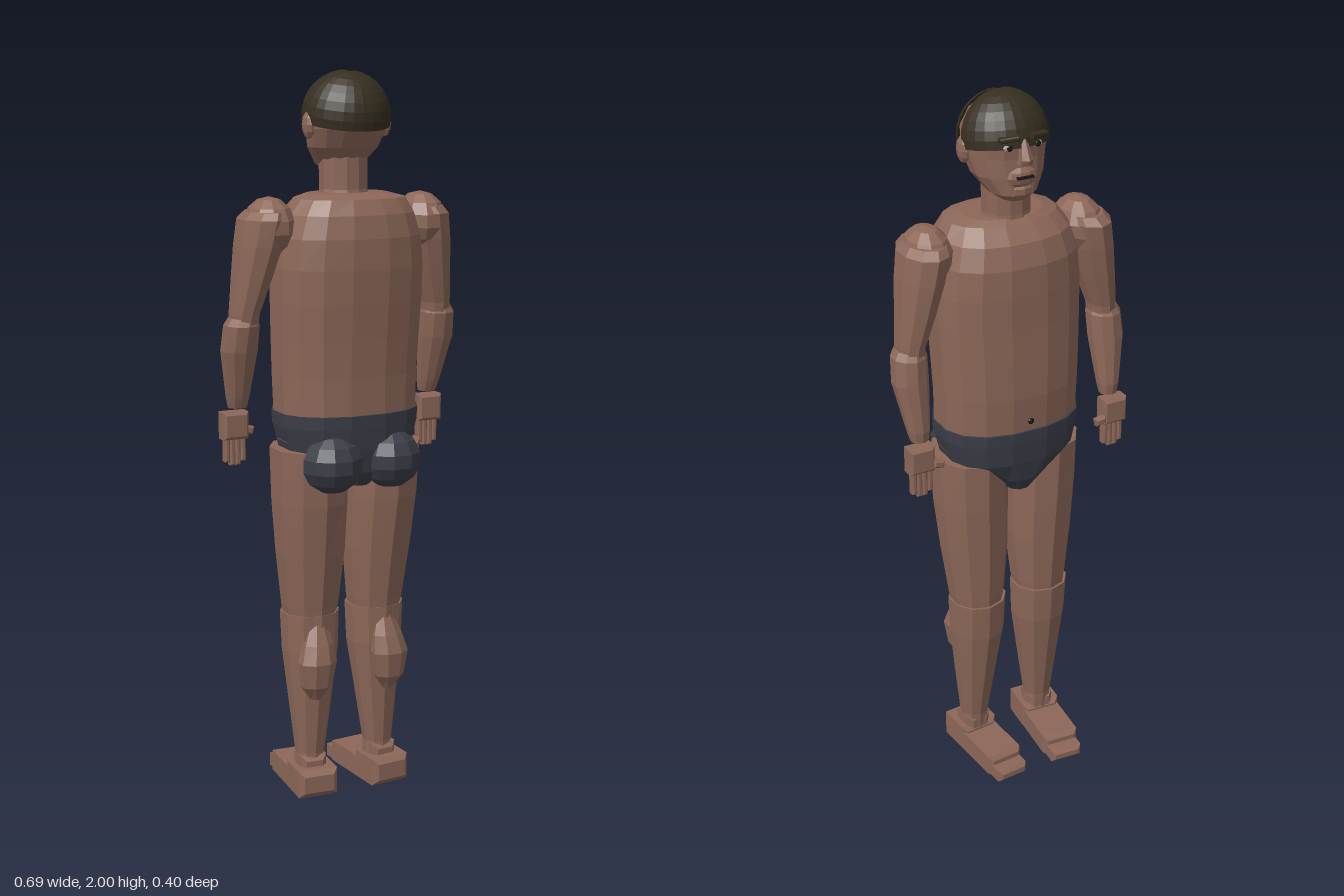
import * as THREE from 'three';

const material = (name, color, side = THREE.FrontSide) => {
  const m = new THREE.MeshStandardMaterial({ color, side });
  m.name = name;
  return m;
};

// Faceted copy of a geometry
function flat(geo) {
  const g = geo.index ? geo.toNonIndexed() : geo;
  g.computeVertexNormals();
  return g;
}

// Closed body from elliptical rings [y, cx, cz, rx, rz], listed bottom to top; power < 1 squares the outline
function loft(rings, sides = 10, power = 1) {
  const pos = [], idx = [];
  const bend = v => Math.sign(v) * Math.pow(Math.abs(v), power);
  for (const [y, cx, cz, rx, rz] of rings) {
    for (let i = 0; i < sides; i++) {
      const a = ((i + 0.5) / sides) * Math.PI * 2;
      pos.push(cx + rx * bend(Math.cos(a)), y, cz + rz * bend(Math.sin(a)));
    }
  }
  for (let j = 0; j < rings.length - 1; j++) {
    for (let i = 0; i < sides; i++) {
      const k = (i + 1) % sides, a = j * sides + i, b = j * sides + k;
      idx.push(a, a + sides, b, b, a + sides, b + sides);
    }
  }
  const n = rings.length * sides, last = n - sides;
  const r0 = rings[0], r1 = rings[rings.length - 1];
  pos.push(r0[1], r0[0], r0[2], r1[1], r1[0], r1[2]);
  for (let i = 0; i < sides; i++) {
    const k = (i + 1) % sides;
    idx.push(n, i, k, n + 1, last + k, last + i);
  }
  const g = new THREE.BufferGeometry();
  g.setAttribute('position', new THREE.Float32BufferAttribute(pos, 3));
  g.setIndex(idx);
  return flat(g);
}

// Box with chamfered edges, centred on the origin
function block(w, h, d, bevel = 0.008) {
  const x = w / 2 - bevel, y = h / 2 - bevel;
  const s = new THREE.Shape([[-x, -y], [x, -y], [x, y], [-x, y]].map(p => new THREE.Vector2(...p)));
  const g = new THREE.ExtrudeGeometry(s, {
    depth: d - 2 * bevel, bevelEnabled: true, bevelThickness: bevel, bevelSize: bevel, bevelSegments: 1,
  });
  return flat(g.translate(0, 0, bevel - d / 2));
}

const ball = (rx, ry, rz, w = 10, h = 7) => flat(new THREE.SphereGeometry(1, w, h).scale(rx, ry, rz));

export function createModel() {
  const skin = material('skin', 0x8c6758);
  const hairMat = material('hair', 0x362e20, THREE.DoubleSide);
  const cloth = material('briefs', 0x3b3d47, THREE.DoubleSide);
  const dark = material('dark detail', 0x1d1815);
  const white = material('eye white', 0xb8aca4);

  const root = new THREE.Group();
  root.name = 'standingFigure';
  const add = (parent, name, geo, mat, x = 0, y = 0, z = 0) => {
    const m = new THREE.Mesh(geo, mat);
    m.name = name;
    m.position.set(x, y, z);
    parent.add(m);
    return m;
  };

  // Torso and neck
  add(root, 'torso', loft([
    [1.02, 0, 0.02, 0.19, 0.135], [1.1, 0, 0.02, 0.2, 0.145], [1.2, 0, 0.018, 0.203, 0.148],
    [1.3, 0, 0.022, 0.207, 0.15], [1.4, 0, 0.028, 0.211, 0.152], [1.49, 0, 0.031, 0.212, 0.154],
    [1.57, 0, 0.032, 0.203, 0.152], [1.63, 0, 0.036, 0.183, 0.137], [1.67, 0, 0.046, 0.155, 0.105],
    [1.682, 0, 0.035, 0.11, 0.08],
  ], 16, 0.85), skin);
  add(root, 'neck', loft([[1.64, 0, 0.015, 0.075, 0.07], [1.69, 0, 0.012, 0.066, 0.06],
    [1.8, 0, 0.01, 0.068, 0.06]], 12), skin);
  add(root, 'navel', ball(0.009, 0.009, 0.006, 8, 5), dark, 0, 1.13, -0.129);

  // Briefs
  add(root, 'waistband', loft([[1.065, 0, 0.02, 0.204, 0.15], [1.1, 0, 0.02, 0.205, 0.151]], 16, 0.85), cloth);
  add(root, 'briefs', loft([[0.9, 0, 0.02, 0.045, 0.11], [0.94, 0, 0.02, 0.085, 0.132],
    [1.0, 0, 0.02, 0.185, 0.142], [1.065, 0, 0.02, 0.2, 0.147]], 16, 0.8), cloth);
  for (const s of [-1, 1]) {
    add(root, 'buttock', ball(0.086, 0.082, 0.082), cloth, s * 0.088, 0.968, 0.122);
  }

  // Head
  const head = new THREE.Group();
  head.name = 'head';
  root.add(head);
  add(head, 'skull', loft([
    [1.735, 0, -0.03, 0.035, 0.035], [1.755, 0, -0.018, 0.065, 0.068], [1.8, 0, 0.008, 0.097, 0.09],
    [1.85, 0, 0.027, 0.11, 0.106], [1.9, 0, 0.027, 0.112, 0.111], [1.95, 0, 0.025, 0.089, 0.09],
    [1.98, 0, 0.025, 0.054, 0.056], [1.994, 0, 0.025, 0.022, 0.022],
  ], 14), skin);
  // Hair cap with a narrow parting on one side
  const hair = add(head, 'hair', flat(new THREE.SphereGeometry(0.119, 26, 8, Math.PI, Math.PI * 2 - 0.22,
    0.09, Math.PI * 0.52)), hairMat, 0, 1.882, 0.028);
  hair.rotation.x = 0.17;
  // Facial features
  add(head, 'nose', loft([[1.84, 0, -0.088, 0.02, 0.02], [1.855, 0, -0.094, 0.018, 0.021],
    [1.905, 0, -0.078, 0.009, 0.012]], 6), skin);
  add(head, 'muzzle', ball(0.045, 0.03, 0.026, 10, 6), skin, 0, 1.802, -0.068);
  add(head, 'chin', ball(0.035, 0.025, 0.024, 8, 5), skin, 0, 1.765, -0.066);
  add(head, 'mouth', new THREE.BoxGeometry(0.046, 0.007, 0.008), dark, 0, 1.806, -0.092);
  for (const s of [-1, 1]) {
    const brow = add(head, 'eyebrow', block(0.052, 0.013, 0.022, 0.003), hairMat, s * 0.041, 1.909, -0.081);
    brow.rotation.set(0, s * -0.25, s * -0.08);
    add(head, 'eye', ball(0.017, 0.011, 0.012, 8, 6), white, s * 0.04, 1.886, -0.073);
    add(head, 'iris', ball(0.008, 0.009, 0.004, 8, 5), dark, s * 0.04, 1.886, -0.084);
    add(head, 'ear', ball(0.016, 0.036, 0.026, 8, 6), skin, s * 0.111, 1.86, 0.032);
  }

  for (const s of [-1, 1]) {
    // Arm
    const arm = new THREE.Group();
    arm.name = s > 0 ? 'leftArm' : 'rightArm';
    root.add(arm);
    add(arm, 'shoulder', ball(0.067, 0.078, 0.088), skin, s * 0.224, 1.6, 0.027);
    add(arm, 'upperArm', loft([
      [1.32, s * 0.288, 0.0, 0.036, 0.045], [1.37, s * 0.287, 0.003, 0.04, 0.053],
      [1.46, s * 0.268, 0.008, 0.052, 0.073], [1.55, s * 0.25, 0.014, 0.063, 0.09],
      [1.62, s * 0.238, 0.017, 0.065, 0.097], [1.64, s * 0.23, 0.022, 0.055, 0.08],
    ], 10), skin);
    add(arm, 'forearm', loft([
      [1.11, s * 0.29, -0.045, 0.026, 0.024], [1.14, s * 0.291, -0.04, 0.032, 0.033],
      [1.27, s * 0.297, -0.012, 0.05, 0.05], [1.34, s * 0.294, 0.0, 0.048, 0.054],
      [1.36, s * 0.292, 0.002, 0.038, 0.045],
    ], 10), skin);
    add(arm, 'palm', block(0.073, 0.075, 0.05), skin, s * 0.297, 1.06, -0.056);
    for (let i = 0; i < 4; i++) {
      add(arm, 'finger', block(0.0145, i % 3 ? 0.085 : 0.075, 0.025, 0.004), skin,
        s * (0.272 + i * 0.0155), i % 3 ? 0.992 : 0.997, -0.058);
    }
    const thumb = add(arm, 'thumb', block(0.032, 0.022, 0.022, 0.005), skin, s * 0.25, 1.04, -0.072);
    thumb.rotation.z = s * 0.2;

    // Leg
    const leg = new THREE.Group();
    leg.name = s > 0 ? 'leftLeg' : 'rightLeg';
    root.add(leg);
    add(leg, 'thigh', loft([
      [0.5, s * 0.1, 0.004, 0.072, 0.074], [0.55, s * 0.1, 0.005, 0.08, 0.08],
      [0.7, s * 0.102, 0.013, 0.096, 0.097], [0.85, s * 0.107, 0.021, 0.104, 0.113],
      [1.0, s * 0.11, 0.025, 0.106, 0.122],
    ], 10), skin);
    add(leg, 'shin', loft([
      [0.07, s * 0.106, 0.016, 0.045, 0.038], [0.12, s * 0.106, 0.015, 0.042, 0.039],
      [0.28, s * 0.103, 0.01, 0.062, 0.06], [0.42, s * 0.1, 0.004, 0.079, 0.077],
      [0.53, s * 0.1, 0.002, 0.083, 0.082],
    ], 10), skin);
    add(leg, 'calf', loft([
      [0.29, s * 0.112, 0.062, 0.018, 0.022], [0.33, s * 0.112, 0.072, 0.045, 0.037],
      [0.4, s * 0.111, 0.077, 0.056, 0.043], [0.45, s * 0.106, 0.07, 0.046, 0.034],
      [0.52, s * 0.102, 0.055, 0.02, 0.02],
    ], 8), skin);

    // Foot, turned a little inward at the toes
    const foot = new THREE.Group();
    foot.name = 'foot';
    foot.position.set(s * 0.106, 0, 0);
    foot.rotation.y = s * 0.08;
    leg.add(foot);
    add(foot, 'heel', block(0.115, 0.076, 0.118, 0.014), skin, 0, 0.046, 0.037);
    add(foot, 'ankle', block(0.076, 0.06, 0.08, 0.014), skin, 0, 0.085, 0.02);
    add(foot, 'instep', block(0.108, 0.06, 0.185, 0.012), skin, 0, 0.034, -0.068);
    add(foot, 'toes', block(0.094, 0.036, 0.065, 0.01), skin, 0, 0.02, -0.17);
    add(foot, 'sole', block(0.1, 0.02, 0.23, 0.006), skin, 0, 0.01, -0.04);
  }
  return root;
}
